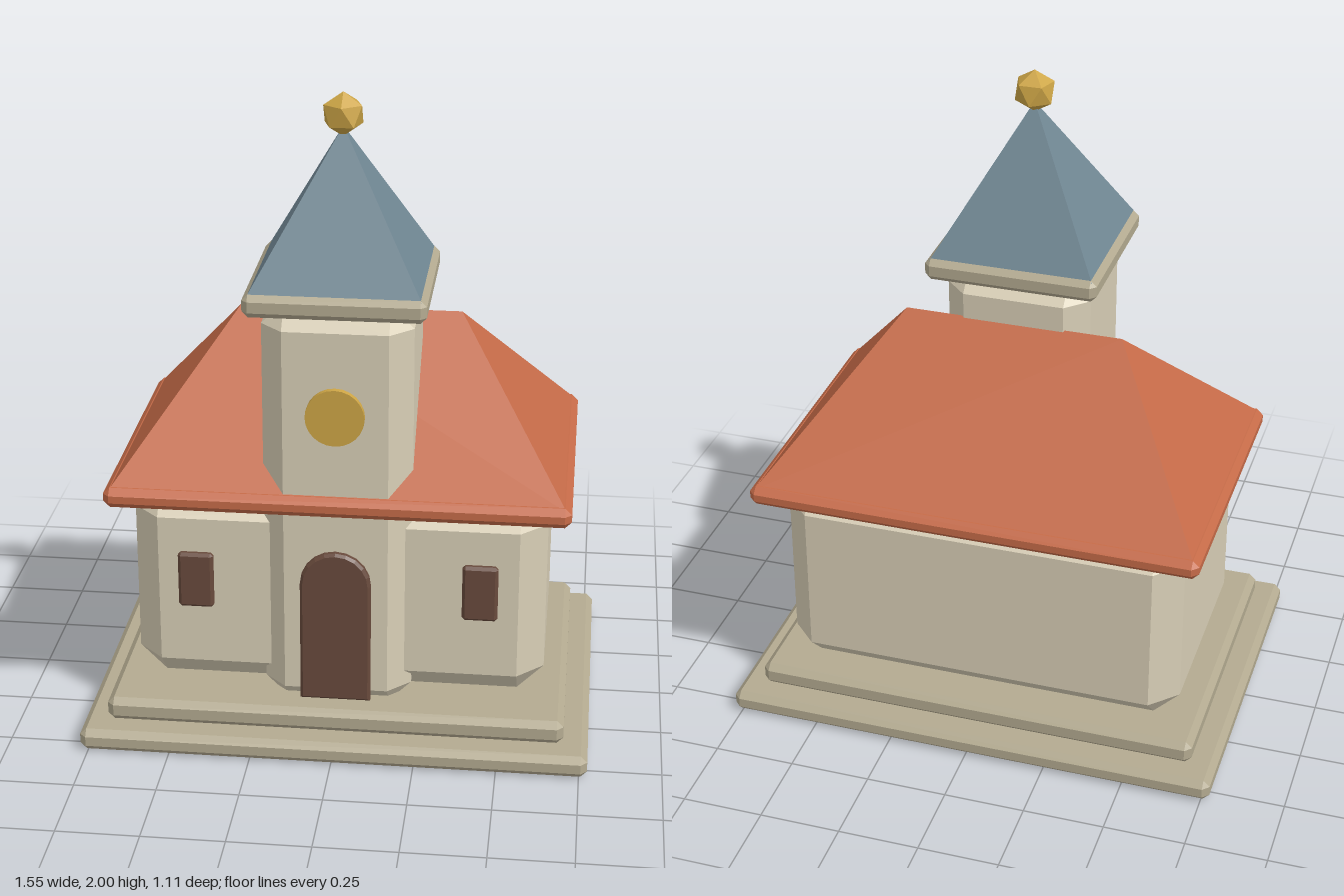
import * as THREE from 'three';
import { ConvexGeometry } from 'three/addons/geometries/ConvexGeometry.js';

const mat = (name, color) => {
  const m = new THREE.MeshStandardMaterial({ color });
  m.name = name;
  return m;
};

// Box with every edge cut flat by b, spanning the given ranges
function chamferBox([x0, x1], [y0, y1], [z0, z1], b) {
  const points = [];
  for (const sx of [0, 1]) for (const sy of [0, 1]) for (const sz of [0, 1]) {
    const x = sx ? x1 : x0, y = sy ? y1 : y0, z = sz ? z1 : z0;
    const dx = sx ? -b : b, dy = sy ? -b : b, dz = sz ? -b : b;
    points.push(
      new THREE.Vector3(x, y + dy, z + dz),
      new THREE.Vector3(x + dx, y, z + dz),
      new THREE.Vector3(x + dx, y + dy, z)
    );
  }
  return new ConvexGeometry(points);
}

// Hipped roof; a ridge of zero length gives a pyramid
function hipRoof(halfX, halfZ, y0, y1, ridge, zMid) {
  const points = [];
  for (const s of [-1, 1]) {
    for (const t of [-1, 1]) points.push(new THREE.Vector3(s * halfX, y0, zMid + t * halfZ));
    if (ridge > 0 || s > 0) points.push(new THREE.Vector3(s * ridge, y1, zMid));
  }
  return new ConvexGeometry(points);
}

export function createModel() {
  const wall = mat('cream wall', 0xd8ceb6);
  const stone = mat('stone trim', 0xb3aa90);
  const roof = mat('terracotta roof', 0xc66b48);
  const slate = mat('blue slate', 0x718894);
  const wood = mat('brown wood', 0x684a3c);
  const gold = mat('gold', 0xcda546);

  const model = new THREE.Group();
  model.name = 'chapel';
  const add = (name, geometry, material) => {
    const mesh = new THREE.Mesh(geometry, material);
    mesh.name = name;
    model.add(mesh);
    return mesh;
  };

  // Stepped base
  add('lowerStep', chamferBox([-0.775, 0.775], [0, 0.07], [-0.557, 0.557], 0.02), stone);
  add('upperStep', chamferBox([-0.7, 0.7], [0.07, 0.145], [-0.485, 0.485], 0.02), stone);

  // Hall and its hipped roof
  add('hall', chamferBox([-0.63, 0.63], [0.148, 0.79], [-0.43, 0.355], 0.081), wall);
  add('eaves', chamferBox([-0.7, 0.7], [0.763, 0.826], [-0.505, 0.43], 0.02), roof);
  add('hallRoof', hipRoof(0.685, 0.453, 0.815, 1.265, 0.34, -0.0375), roof);

  // Tower, cornice and spire
  const towerZ = 0.18;
  add('tower', chamferBox([-0.225, 0.225], [0.112, 1.41], [-0.042, 0.403], 0.068), wall);
  add('cornice', chamferBox([-0.267, 0.267], [1.393, 1.462], [towerZ - 0.267, towerZ + 0.267], 0.018), stone);
  add('spire', hipRoof(0.253, 0.253, 1.455, 1.9, 0, towerZ), slate);

  // Faceted finial, standing on one vertex
  const ball = new THREE.IcosahedronGeometry(0.066, 0);
  ball.rotateX(-Math.atan((1 + Math.sqrt(5)) / 2));
  add('finial', ball, gold).position.set(0, 1.934, towerZ);

  // Round dial on the tower front
  const dial = new THREE.CylinderGeometry(0.088, 0.088, 0.03, 24);
  dial.rotateX(Math.PI / 2);
  add('dial', dial, gold).position.set(0, 1.085, 0.407);

  // Arched door with a slim bevel
  const b = 0.008, r = 0.107 - b;
  const arch = new THREE.Shape();
  arch.moveTo(-r, 0.153 + b);
  arch.lineTo(r, 0.153 + b);
  arch.lineTo(r, 0.54);
  arch.absarc(0, 0.54, r, 0, Math.PI, false);
  const door = new THREE.ExtrudeGeometry(arch, {
    depth: 0.02, curveSegments: 5,
    bevelEnabled: true, bevelSize: b, bevelThickness: b, bevelSegments: 1,
  });
  add('door', door, wood).position.z = 0.397;

  // Front windows
  for (const [name, x] of [['leftWindow', 0.433], ['rightWindow', -0.433]]) {
    add(name, chamferBox([x - 0.054, x + 0.054], [0.42, 0.6], [0.34, 0.374], 0.009), wood);
  }

  return model;
}
